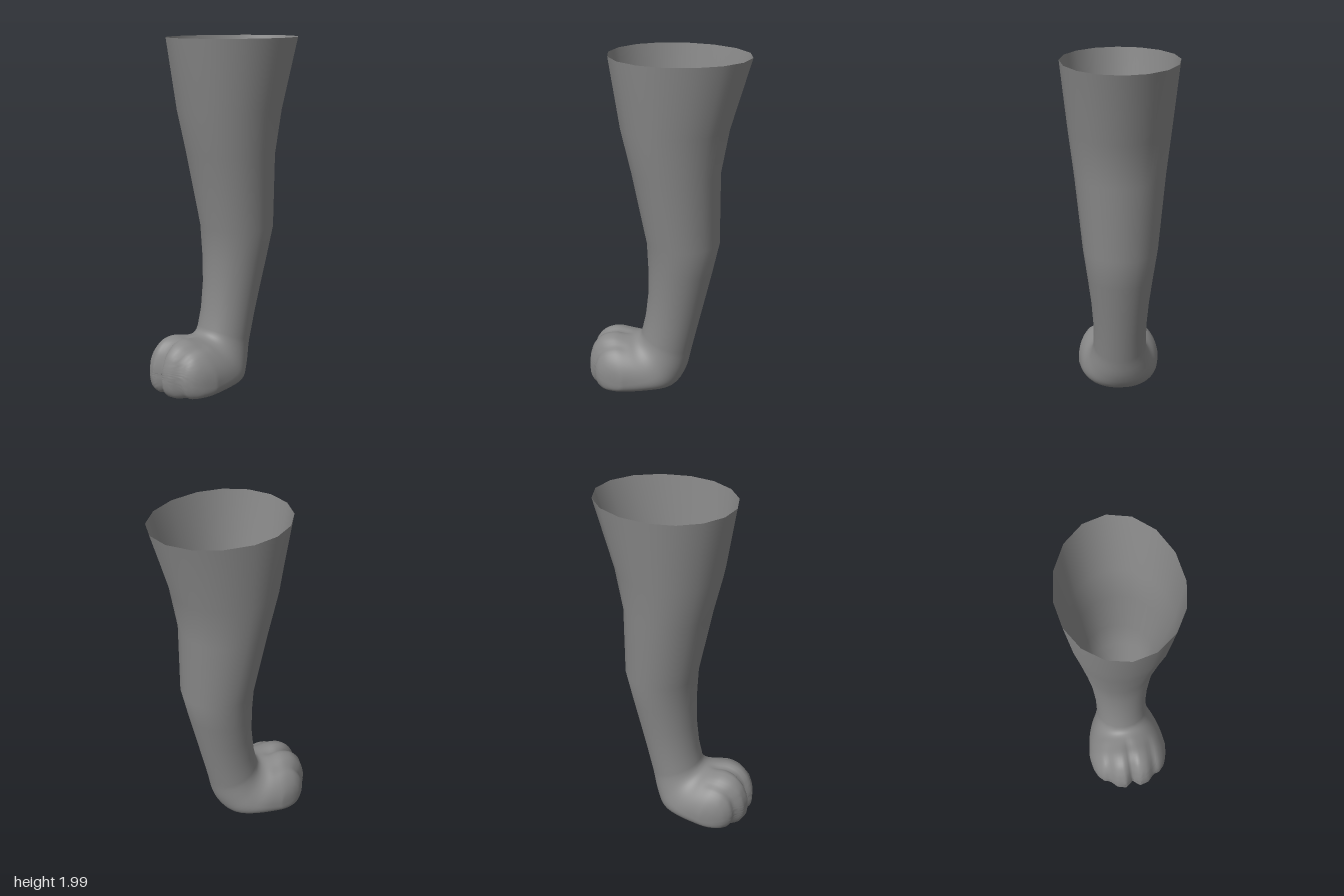
import * as THREE from 'three';

const SEG = 80;

// Cross-sections from the open top down to the toe tips:
// front/top point (y, z), back/bottom point (y, z), half width,
// position of the widest line between them, exponent of the bottom half, facet blend
const RINGS = [
  [2.00, 0.333, 2.00, -0.463, 0.33, 0.465, 2, 1],
  [1.60, 0.267, 1.60, -0.345, 0.287, 0.47, 2, 1],
  [1.35, 0.207, 1.35, -0.30, 0.256, 0.48, 2, 1],
  [0.93, 0.122, 0.93, -0.30, 0.212, 0.5, 2, 1],
  [0.75, 0.113, 0.75, -0.26, 0.187, 0.5, 2, 1],
  [0.60, 0.115, 0.58, -0.22, 0.167, 0.5, 2, 1],
  [0.45, 0.132, 0.42, -0.182, 0.155, 0.5, 2, 1],
  [0.36, 0.152, 0.25, -0.142, 0.155, 0.5, 2, 0.8],
  [0.33, 0.17, 0.12, -0.11, 0.172, 0.54, 2.1, 0.4],
  [0.32, 0.20, 0.036, -0.05, 0.20, 0.6, 2.4, 0],
  [0.325, 0.25, 0.018, 0.08, 0.23, 0.66, 3, 0],
  [0.335, 0.32, 0.006, 0.24, 0.242, 0.68, 3.5, 0],
  [0.315, 0.385, 0.008, 0.38, 0.241, 0.68, 3.5, 0],
  [0.27, 0.43, 0.02, 0.43, 0.228, 0.64, 3, 0],
  [0.22, 0.452, 0.05, 0.455, 0.19, 0.58, 2.5, 0],
  [0.18, 0.462, 0.09, 0.465, 0.12, 0.5, 2.2, 0],
  [0.15, 0.465, 0.12, 0.465, 0.05, 0.5, 2, 0],
  [0.135, 0.465, 0.135, 0.465, 0, 0.5, 2, 0],
];
const PAW_START = 7;

// How far the front of the paw recedes at distance x from the middle
const TOES = [[0, 0.035], [0.02, 0.018], [0.045, 0], [0.1, 0.012], [0.14, 0.052],
  [0.175, 0.055], [0.21, 0.082], [0.23, 0.115], [0.245, 0.17]];

function recede(x) {
  for (let i = 1; i < TOES.length; i++) {
    const [x0, d0] = TOES[i - 1], [x1, d1] = TOES[i];
    if (x <= x1) return d0 + (d1 - d0) * (x - x0) / (x1 - x0);
  }
  return 0.17;
}

const bump = (x, centre, width) => Math.exp(-(((x - centre) / width) ** 2));

// Smooth blend between four neighbouring sections
function blend(a, b, c, d, t) {
  return b.map((_, k) => b[k] + 0.5 * t * (c[k] - a[k] + t * (2 * a[k] - 5 * b[k] + 4 * c[k] - d[k]
    + t * (3 * (b[k] - c[k]) + d[k] - a[k]))));
}

function denseRings() {
  const out = RINGS.slice(0, PAW_START);
  const steps = 4, last = RINGS.length - 1;
  for (let i = PAW_START; i < last; i++) {
    for (let s = 0; s < steps; s++) {
      out.push(blend(RINGS[i - 1], RINGS[i], RINGS[i + 1], RINGS[Math.min(i + 2, last)], s / steps));
    }
  }
  out.push(RINGS[last]);
  return out;
}

// Unit outline: [across, along], a 16-sided polygon on the leg, rounded on the paw
function outline(j, exponent, facet) {
  const a = j / SEG * Math.PI * 2;
  const step = Math.PI / 8;
  const k = Math.floor(j * 16 / SEG), f = j * 16 / SEG - k;
  const poly = (fn) => fn(k * step) * (1 - f) + fn((k + 1) * step) * f;
  const e = 2 / (Math.cos(a) < 0 ? exponent : 2);
  const power = (v) => Math.sign(v) * Math.abs(v) ** e;
  return [
    THREE.MathUtils.lerp(power(Math.sin(a)), poly(Math.sin), facet),
    THREE.MathUtils.lerp(power(Math.cos(a)), poly(Math.cos), facet),
  ];
}

// Points of all sections; facetScale 0 gives fully round ones
function skinPoints(rings, facetScale) {
  const positions = [];
  rings.forEach(([fy, fz, by, bz, w, mid, exponent, facet], i) => {
    const cy = fy + (by - fy) * mid, cz = fz + (bz - fz) * mid;
    for (let j = 0; j < SEG; j++) {
      const [u, v] = outline(j, exponent, facet * facetScale);
      const x = u * Math.max(w, 0);
      let y = cy + (v > 0 ? (fy - cy) * v : (cy - by) * v);
      let z = cz + (v > 0 ? (fz - cz) * v : (cz - bz) * v);
      if (i >= PAW_START) {
        // Part the front of the paw into four toes
        const ax = Math.abs(x);
        const groove = 0.02 * bump(ax, 0, 0.025) + 0.012 * bump(ax, 0.135, 0.025);
        y -= groove * THREE.MathUtils.smoothstep(z, 0.19, 0.3) * (v > 0 ? v : v * 0.4);
        z -= recede(ax) * THREE.MathUtils.smoothstep(z, 0.15, 0.465);
      }
      positions.push(x, Math.max(y, 0), z);
    }
  });
  return new THREE.Float32BufferAttribute(positions, 3);
}

function legGeometry() {
  const rings = denseRings(), index = [];
  for (let i = 1; i < rings.length; i++) {
    for (let j = 0; j < SEG; j++) {
      const n = (j + 1) % SEG, p = (i - 1) * SEG, q = i * SEG;
      index.push(p + j, q + j, p + n, q + j, q + n, p + n);
    }
  }
  const geometry = new THREE.BufferGeometry();
  geometry.setIndex(index);
  // Round sections give the normals, so the 16 sides shade smoothly
  geometry.setAttribute('position', skinPoints(rings, 0));
  geometry.computeVertexNormals();
  geometry.setAttribute('position', skinPoints(rings, 1));
  // All points meet at the toe tip and face forward
  for (let j = 0; j < SEG; j++) {
    geometry.attributes.normal.setXYZ((rings.length - 1) * SEG + j, 0, 0, 1);
  }
  return geometry;
}

export function createModel() {
  const group = new THREE.Group();
  group.name = 'animalLeg';
  const material = new THREE.MeshStandardMaterial({ color: 0x888888, side: THREE.DoubleSide });
  // Open-topped leg flowing into the paw as one skin
  const leg = new THREE.Mesh(legGeometry(), material);
  leg.name = 'legAndPaw';
  group.add(leg);
  return group;
}
